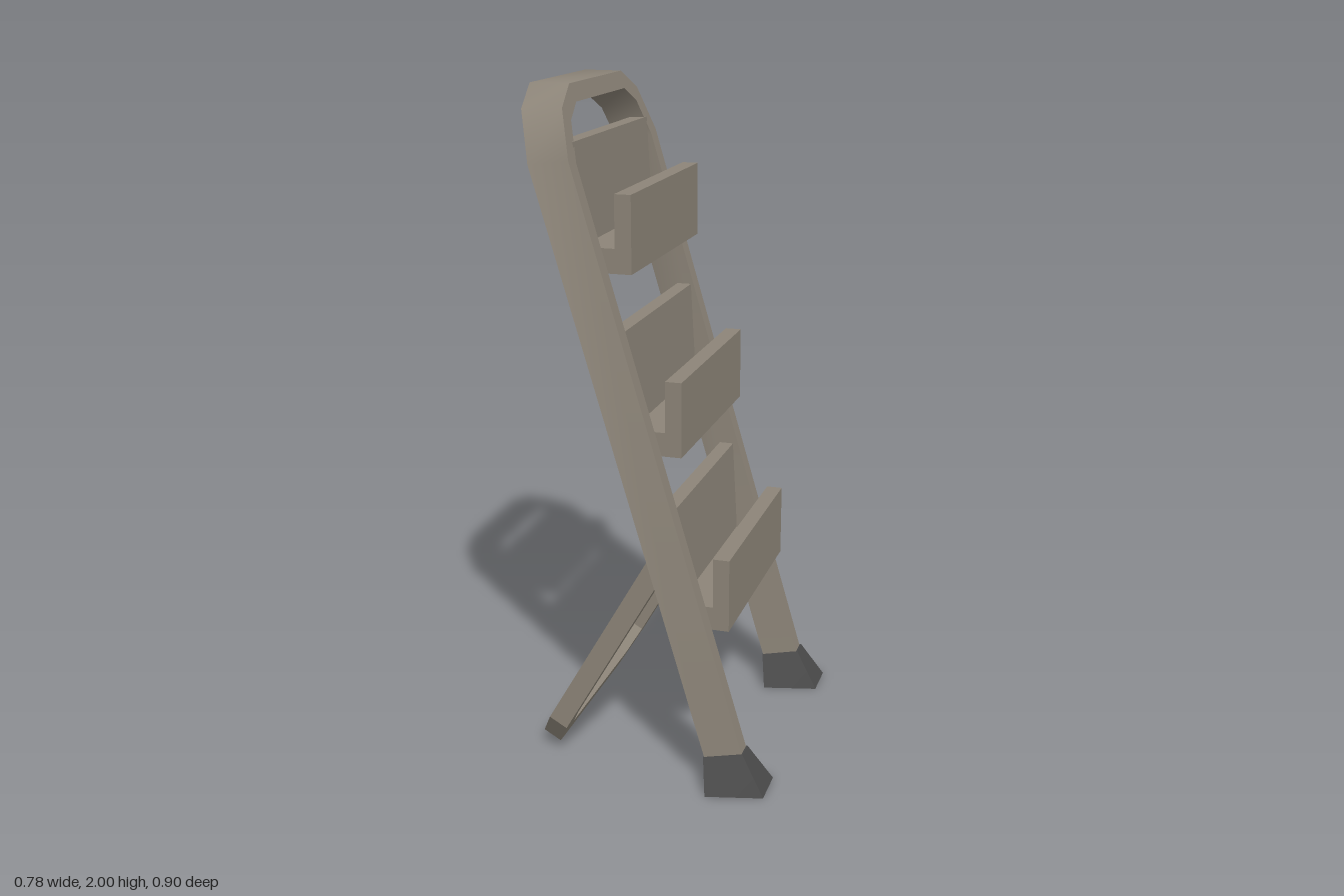
import * as THREE from 'three';
import { toCreasedNormals } from 'three/addons/utils/BufferGeometryUtils.js';

const mat = (name, color) => Object.assign(new THREE.MeshStandardMaterial({ color }), { name });

// Closed solid skinned over a row of four-cornered cross-sections
function loft(rings) {
  const pos = [];
  const quad = (a, b, c, d) => [a, b, c, a, c, d].forEach((p) => pos.push(...p));
  for (let i = 0; i < rings.length - 1; i++) {
    for (let k = 0; k < 4; k++) {
      const n = (k + 1) % 4;
      quad(rings[i][k], rings[i][n], rings[i + 1][n], rings[i + 1][k]);
    }
  }
  const s = rings[0], e = rings[rings.length - 1];
  quad(s[3], s[2], s[1], s[0]);
  quad(e[0], e[1], e[2], e[3]);
  const g = new THREE.BufferGeometry();
  g.setAttribute('position', new THREE.Float32BufferAttribute(pos, 3));
  return toCreasedNormals(g, 0.65);
}

// Moves a polyline to its right by a distance, with mitred corners
function inset(path, dist) {
  const normal = (i) => {
    const [a, b] = [path[i], path[i + 1]];
    return new THREE.Vector2(b[1] - a[1], a[0] - b[0]).normalize();
  };
  return path.map(([x, y], i) => {
    const n1 = normal(Math.max(i - 1, 0));
    const n2 = normal(Math.min(i, path.length - 2));
    const m = n1.clone().add(n2);
    m.multiplyScalar(dist / (1 + n1.dot(n2)));
    return [x + m.x, y + m.y];
  });
}

// Bent bar: corners are [inset, side], side 0 = back and 1 = front
function bentBar(path, corners, place) {
  const lines = corners.map(([d]) => inset(path, d));
  return loft(path.map((_, i) => corners.map(([, side], k) => place(...lines[k][i], side))));
}

// Completes a half outline given from the +z side with its mirror image
const mirrorPath = (half) => [
  ...half.map(([z, y]) => [-z, y]),
  ...half.slice().reverse(),
];

export function createModel() {
  const frameMat = mat('warm grey frame', 0x8c8478);
  const footMat = mat('dark rubber', 0x4a4a4a);
  const root = new THREE.Group();
  root.name = 'leaningRack';
  const rack = new THREE.Group();
  rack.name = 'rack';
  rack.rotation.y = 0.057;
  rack.position.z = 0.006;
  root.add(rack);
  const add = (name, geometry, material) => {
    const m = new THREE.Mesh(geometry, material);
    m.name = name;
    rack.add(m);
    return m;
  };

  // Leaning main frame, an arch with a tapered section
  const arch = mirrorPath([[0.389, 0.085], [0.389, 1.8], [0.323, 1.94], [0.217, 2]]);
  add('mainFrame', bentBar(
    arch,
    [[0, 0], [0.08, 0], [0.065, 1], [0.015, 1]],
    (z, y, side) => {
      const h = y + side * 0.015;
      return [-0.379 + side * 0.115 + 0.293 * (2 - h), h, z];
    },
  ), frameMat);

  // Folding rear support, a U tilted the other way
  const u = mirrorPath([[0.372, 0.76], [0.372, 0.12], [0.275, 0]]).reverse();
  add('rearSupport', bentBar(
    u,
    [[0, 0], [0.068, 0], [0.068, 1], [0, 1]],
    (z, t, side) => [
      -0.37 + 0.497 * t + 0.053 * side,
      0.032 + 0.867 * t - 0.03 * side,
      z,
    ],
  ), frameMat);

  // Three shelves: back plate, floor and front lip in one profile
  const profile = [
    [-0.243, 0], [-0.054, 0], [-0.054, 0.22], [-0.102, 0.22],
    [-0.102, 0.07], [-0.202, 0.07], [-0.218, 0.355], [-0.262, 0.355],
  ].map((p) => new THREE.Vector2(...p));
  const shelfGeo = new THREE.ExtrudeGeometry(new THREE.Shape(profile), {
    depth: 0.63, bevelEnabled: false,
  });
  shelfGeo.translate(0, 0, -0.315);
  for (let i = 0; i < 3; i++) {
    add('shelf' + (i + 1), shelfGeo, frameMat).position.set(0.1425 * i, 1.5 - 0.516 * i, 0);
  }

  // Flared rubber feet
  for (const s of [-1, 1]) {
    const ring = (xb, yb, wb, xf, yf, wf) => [
      [xb, yb, s * 0.351 - wb], [xb, yb, s * 0.351 + wb],
      [xf, yf, s * 0.351 + wf], [xf, yf, s * 0.351 - wf],
    ];
    add(s > 0 ? 'leftFoot' : 'rightFoot', loft([
      ring(0.2, 0, 0.101, 0.365, 0, 0.06),
      ring(0.178, 0.092, 0.042, 0.294, 0.112, 0.029),
    ]), footMat);
  }
  return root;
}
